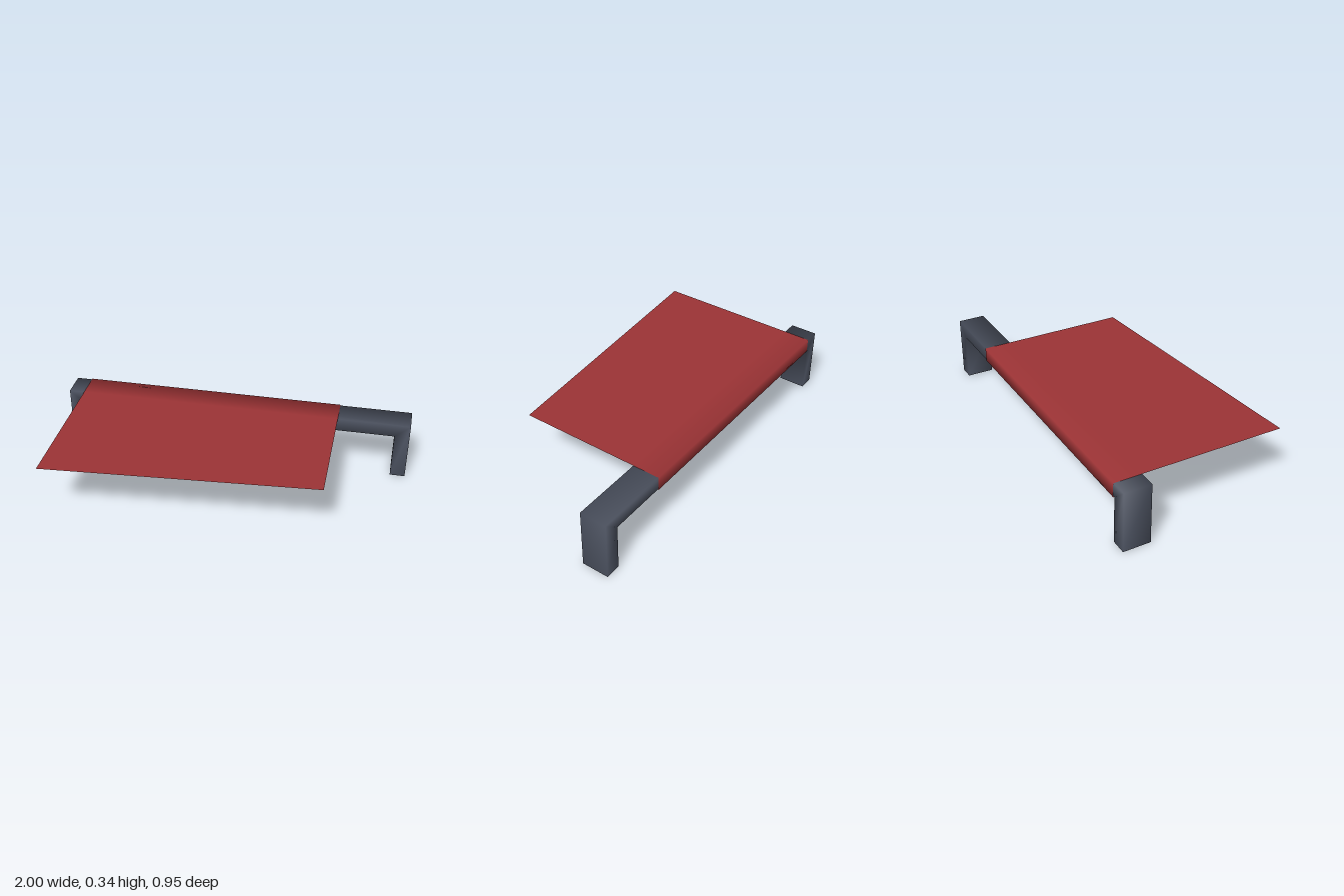
import * as THREE from 'three';

const BACK = -0.477, FRONT = -0.325;   // depth of the rail
const TOP = 0.338, UNDER = 0.265;      // rail top and underside
const OUT = 1, IN = 0.915;             // outer and inner leg faces

// Indexed surface from a grid of points and normals; rings may be closed
function gridGeometry(rows, normals, closed) {
  const n = rows[0].length, index = [];
  for (let i = 0; i < rows.length - 1; i++) {
    for (let k = 0; k < (closed ? n : n - 1); k++) {
      const a = i * n + k, b = i * n + (k + 1) % n;
      index.push(a, b, b + n, a, b + n, a + n);
    }
  }
  const g = new THREE.BufferGeometry();
  g.setAttribute('position', new THREE.Float32BufferAttribute(rows.flat(2), 3));
  g.setAttribute('normal', new THREE.Float32BufferAttribute(normals.flat(2), 3));
  g.setIndex(index);
  return g;
}

const unit = (x, y, z) => new THREE.Vector3(x, y, z).normalize().toArray();

// Rectangular section swept down both legs and along the rail, softly shaded
function frameGeometry() {
  const stations = [
    { o: [-OUT, 0], i: [-IN, 0], n: [-1, 0] },
    { o: [-OUT, TOP], i: [-IN, UNDER], n: [-0.7, 0.7] },
    { o: [OUT, TOP], i: [IN, UNDER], n: [0.7, 0.7] },
    { o: [OUT, 0], i: [IN, 0], n: [1, 0] },
  ];
  const rows = stations.map(({ o, i }) => [[...o, BACK], [...o, FRONT], [...i, FRONT], [...i, BACK]]);
  const normals = stations.map(({ n: [x, y] }) =>
    [unit(x, y, -1), unit(x, y, 1), unit(-x, -y, 1), unit(-x, -y, -1)]);
  return gridGeometry(rows, normals, true);
}

// Cloth: tucked under the rail, up its back, over the top and flat out forward
function clothGeometry() {
  const section = (x, frontZ) => [
    [x, 0.262, -0.33], [x, 0.262, -0.48], [x, 0.341, -0.48], [x, 0.341, -0.325], [x, 0.341, frontZ],
  ];
  const n = [[0, -1, 0], unit(0, -1, -1), unit(0, 1, -1), [0, 1, 0], [0, 1, 0]];
  return gridGeometry([section(-0.91, 0.475), section(0.59, 0.36)], [n, n], false);
}

export function createModel() {
  const greyMetal = new THREE.MeshStandardMaterial({ color: 0x4a505e });
  greyMetal.name = 'greyMetal';
  const redCloth = new THREE.MeshStandardMaterial({ color: 0x9b3335, side: THREE.DoubleSide });
  redCloth.name = 'redCloth';

  const model = new THREE.Group();
  model.name = 'railWithCloth';
  const add = (name, geometry, material) => {
    const mesh = new THREE.Mesh(geometry, material);
    mesh.name = name;
    model.add(mesh);
    return mesh;
  };

  add('railFrame', frameGeometry(), greyMetal);

  // Flat ends under the legs
  for (const [name, side] of [['leftLegEnd', 1], ['rightLegEnd', -1]]) {
    const end = new THREE.PlaneGeometry(OUT - IN, FRONT - BACK).rotateX(Math.PI / 2);
    add(name, end, greyMetal).position.set(side * (OUT + IN) / 2, 0, (FRONT + BACK) / 2);
  }

  add('cloth', clothGeometry(), redCloth);
  return model;
}
